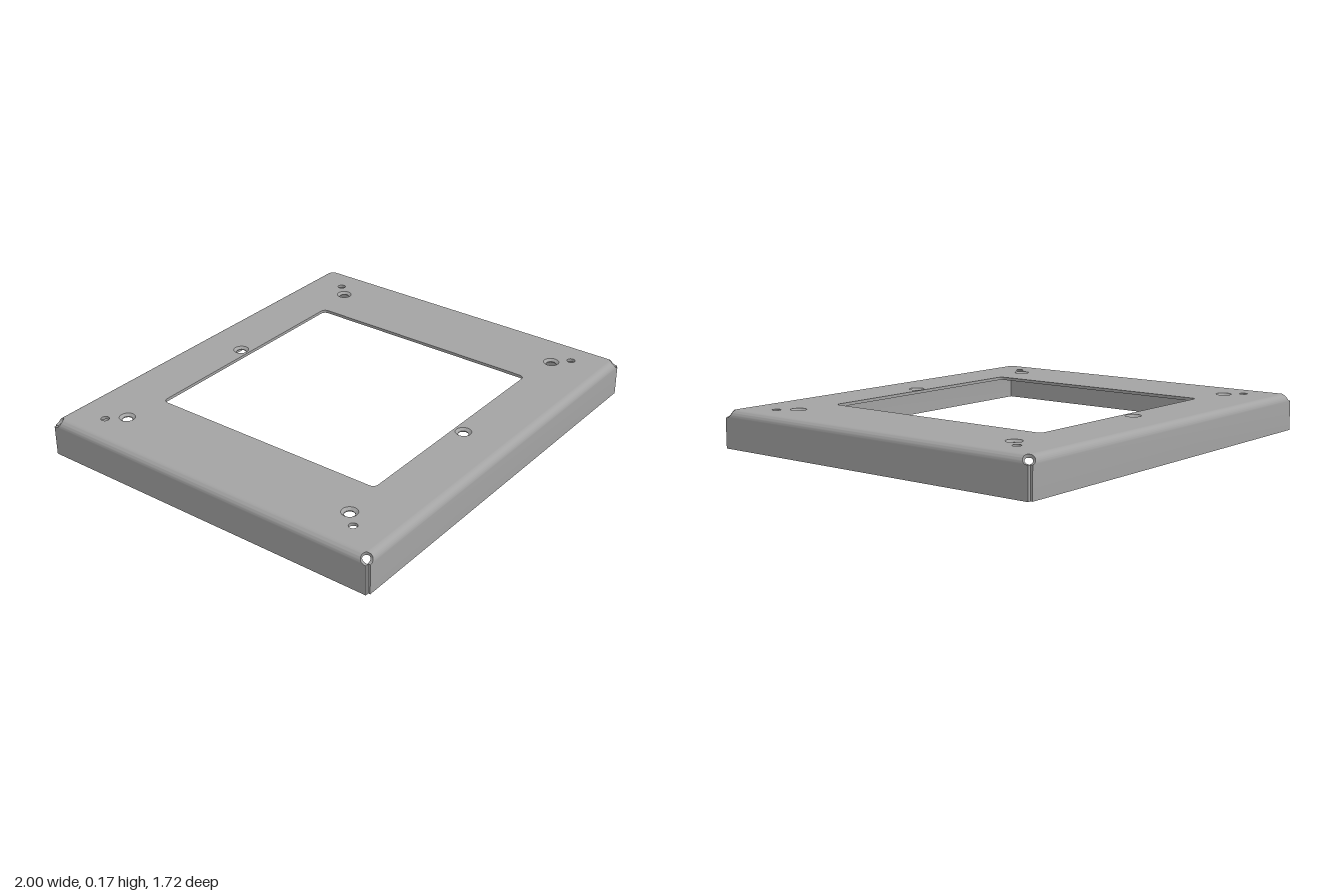
import * as THREE from 'three';
import { toCreasedNormals } from 'three/addons/utils/BufferGeometryUtils.js';

const W = 1, D = 0.859, H = 0.172;    // half width, half depth, height
const T = 0.014, R = 0.035;           // sheet thickness, outer bend radius
const RELIEF = 0.025, OFFSET = 0.018; // round corner relief: radius, distance past the bend line

const material = new THREE.MeshStandardMaterial({ color: 0xa3a3a3, side: THREE.DoubleSide });

function mesh(name, geometry) {
  const m = new THREE.Mesh(geometry, material);
  m.name = name;
  return m;
}

function circle(x, y, r) {
  return new THREE.Path().absarc(x, y, r, 0, Math.PI * 2, true);
}

function roundedWindow(h, r) {
  const p = new THREE.Path();
  p.absarc(h - r, h - r, r, 0, Math.PI / 2);
  p.absarc(r - h, h - r, r, Math.PI / 2, Math.PI);
  p.absarc(r - h, r - h, r, Math.PI, Math.PI * 1.5);
  p.absarc(h - r, r - h, r, Math.PI * 1.5, Math.PI * 2);
  p.closePath();
  return p;
}

// Folded edge: a four-point section swept round the bend and down the wall,
// with its ends cut back by the round relief. It faces +z.
// The wall below the relief stops short of the corner by the gap.
function flangeGeometry(halfLength, distance, gap) {
  const arc = (R - T / 2) * Math.PI / 2;
  const reliefEnd = OFFSET + RELIEF, steps = 16;
  const rows = []; // [distance along the sheet, half length there]
  for (let i = 0; i <= steps; i++) {
    const s = reliefEnd * i / steps;
    const cut = Math.sqrt(Math.max(0, RELIEF ** 2 - (s - OFFSET) ** 2));
    rows.push([s, halfLength - R + OFFSET - cut]);
  }
  rows.push([reliefEnd, halfLength - gap], [arc + H - R, halfLength - gap]);

  const positions = [], index = [];
  rows.forEach(([s, u], j) => {
    const a = Math.min(s / arc, 1) * Math.PI / 2;
    const drop = Math.max(0, s - arc);
    const point = (x, r) => positions.push(x, H - R + r * Math.cos(a) - drop, distance - R + r * Math.sin(a));
    point(-u, R); point(u, R); point(u, R - T); point(-u, R - T);
    if (j === 0) return;
    for (let k = 0; k < 4; k++) {
      const p = (j - 1) * 4 + k, q = (j - 1) * 4 + (k + 1) % 4;
      index.push(p, p + 4, q + 4, p, q + 4, q);
    }
  });
  const e = (rows.length - 1) * 4;
  index.push(e, e + 3, e + 2, e, e + 2, e + 1);

  const g = new THREE.BufferGeometry();
  g.setAttribute('position', new THREE.Float32BufferAttribute(positions, 3));
  g.setIndex(index);
  return toCreasedNormals(g, 0.6);
}

export function createModel() {
  const group = new THREE.Group();
  group.name = 'sheetMetalFrame';

  // Hole positions, mirrored front to back
  const sinks = [], plain = [];
  for (const s of [-1, 1]) {
    for (const x of [-1, 1]) {
      sinks.push([x * 0.787, s * 0.612]);
      plain.push([x * 0.855, s * 0.68]);
    }
    sinks.push([0, s * 0.633]);
  }

  // Top plate with slightly clipped corners, window and holes
  const a = W - R, b = D - R, c = 0.002;
  const outline = new THREE.Shape([
    [a - c, -b], [a, c - b], [a, b - c], [a - c, b],
    [c - a, b], [-a, b - c], [-a, c - b], [c - a, -b],
  ].map(([x, y]) => new THREE.Vector2(x, y)));
  outline.holes.push(roundedWindow(0.586, 0.025));
  for (const [x, z] of sinks) outline.holes.push(circle(x, -z, 0.036));
  for (const [x, z] of plain) outline.holes.push(circle(x, -z, 0.019));
  const plate = new THREE.ExtrudeGeometry(outline, { depth: T, bevelEnabled: false, curveSegments: 16 });
  plate.rotateX(-Math.PI / 2).translate(0, H - T, 0);
  group.add(mesh('topPlate', plate));

  // Countersunk seats
  const seat = toCreasedNormals(new THREE.LatheGeometry(
    [[0.036, T], [0.023, 0.004], [0.023, 0], [0.036, 0]].map(([r, y]) => new THREE.Vector2(r, y)), 32), 0.5);
  for (const [x, z] of sinks) {
    const m = mesh('countersink', seat);
    m.position.set(x, H - T, z);
    group.add(m);
  }

  // Four folded walls; the side walls reach further into the corners
  const long = flangeGeometry(W, D, 0.016), short = flangeGeometry(D, W, 0.009);
  ['frontWall', 'leftWall', 'backWall', 'rightWall'].forEach((name, i) => {
    const m = mesh(name, i % 2 ? short : long);
    m.rotation.y = i * Math.PI / 2;
    group.add(m);
  });

  return group;
}
